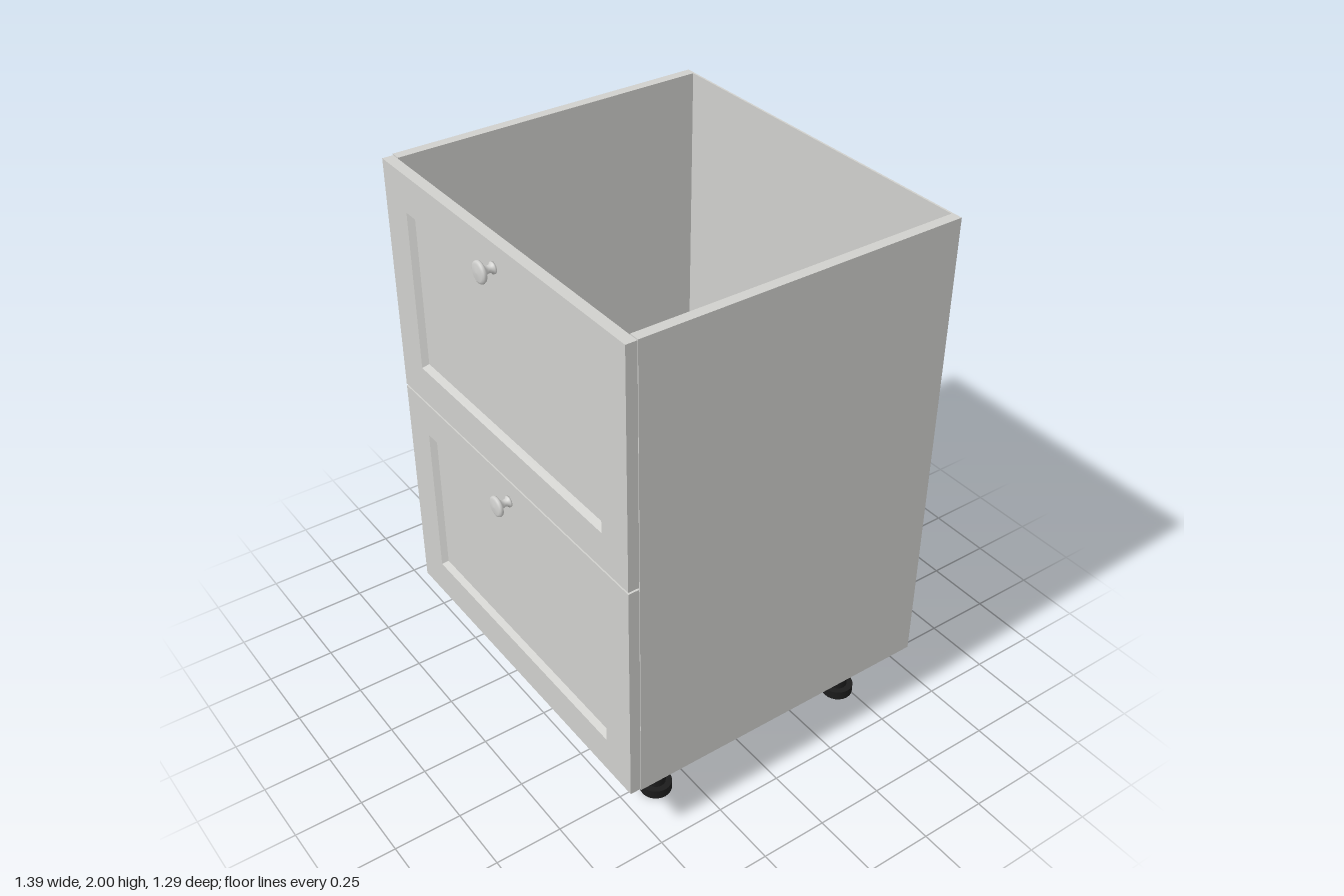
import * as THREE from 'three';

const paint = new THREE.MeshStandardMaterial({ name: 'grey paint', color: 0xcfcfcc });
const metal = new THREE.MeshStandardMaterial({ name: 'knob metal', color: 0xd0d0ce });
const plastic = new THREE.MeshStandardMaterial({ name: 'black plastic', color: 0x1c1c1c });

const BASE = 0.24, TOP = 2, HALF_W = 0.695, BACK = -0.648, BODY_FRONT = 0.545, FACE = 0.585;
const WALL = 0.037, BACK_T = 0.007;

function add(parent, name, geometry, material, x = 0, y = 0, z = 0) {
  const mesh = new THREE.Mesh(geometry, material);
  mesh.name = name;
  mesh.position.set(x, y, z);
  parent.add(mesh);
  return mesh;
}

// Box given by its two opposite corners
function board(parent, name, [x0, y0, z0], [x1, y1, z1]) {
  add(parent, name, new THREE.BoxGeometry(x1 - x0, y1 - y0, z1 - z0), paint,
    (x0 + x1) / 2, (y0 + y1) / 2, (z0 + z1) / 2);
}

// Drawer front with a sloped, recessed centre: nested rectangles joined by quads
function drawerFrontGeometry(width, height, depth) {
  const loop = (inset, z) => {
    const w = width / 2 - inset, h = height / 2 - inset;
    return [[-w, -h, z], [w, -h, z], [w, h, z], [-w, h, z]];
  };
  const loops = [loop(0, 0), loop(0, depth), loop(0.138, depth), loop(0.157, depth - 0.019)];
  const positions = [];
  const quad = (a, b, c, d) => positions.push(...a, ...b, ...c, ...a, ...c, ...d);
  for (let i = 0; i < loops.length - 1; i++) {
    for (let j = 0; j < 4; j++) {
      const k = (j + 1) % 4;
      quad(loops[i][j], loops[i][k], loops[i + 1][k], loops[i + 1][j]);
    }
  }
  quad(...loops[3]);
  quad(...[...loops[0]].reverse());
  const geometry = new THREE.BufferGeometry();
  geometry.setAttribute('position', new THREE.Float32BufferAttribute(positions, 3));
  geometry.computeVertexNormals();
  return geometry;
}

// Turned knob, its axis pointing forward
function knobGeometry() {
  const profile = [
    [0, 0], [0.02, 0], [0.02, 0.006], [0.014, 0.01], [0.012, 0.02], [0.015, 0.03],
    [0.024, 0.038], [0.035, 0.042], [0.038, 0.048], [0.036, 0.054], [0.028, 0.058], [0, 0.06],
  ].map(([r, y]) => new THREE.Vector2(r, y));
  return new THREE.LatheGeometry(profile, 32).rotateX(Math.PI / 2);
}

export function createModel() {
  const model = new THREE.Group();
  model.name = 'drawerCabinet';

  // Open-topped carcass
  const carcass = new THREE.Group();
  carcass.name = 'carcass';
  model.add(carcass);
  const inner = HALF_W - WALL, z0 = BACK + BACK_T;
  board(carcass, 'rightSide', [-HALF_W, BASE, z0], [-inner, TOP, BODY_FRONT]);
  board(carcass, 'leftSide', [inner, BASE, z0], [HALF_W, TOP, BODY_FRONT]);
  board(carcass, 'bottomPanel', [-inner, BASE, z0], [inner, BASE + WALL, BODY_FRONT]);
  board(carcass, 'backPanel', [-HALF_W, BASE, BACK], [HALF_W, TOP, z0]);

  // Two drawer fronts, each with a knob on its top rail
  const knob = knobGeometry();
  [['lowerDrawer', 0.243, 1.115], ['upperDrawer', 1.123, 1.996]].forEach(([name, bottom, top]) => {
    const drawer = new THREE.Group();
    drawer.name = name;
    model.add(drawer);
    add(drawer, 'drawerFront', drawerFrontGeometry(1.384, top - bottom, FACE - BODY_FRONT), paint,
      0, (bottom + top) / 2, BODY_FRONT);
    add(drawer, 'knob', knob, metal, 0, top - 0.084, FACE);
  });

  // Four legs with wide feet
  const shaft = new THREE.CylinderGeometry(0.035, 0.035, BASE - 0.035, 20);
  const foot = new THREE.CylinderGeometry(0.057, 0.057, 0.035, 24);
  for (const x of [-0.533, 0.533]) {
    for (const z of [-0.467, 0.37]) {
      const leg = new THREE.Group();
      leg.name = 'leg';
      leg.position.set(x, 0, z);
      model.add(leg);
      add(leg, 'legShaft', shaft, plastic, 0, (BASE + 0.035) / 2, 0);
      add(leg, 'foot', foot, plastic, 0, 0.0175, 0);
    }
  }
  return model;
}
